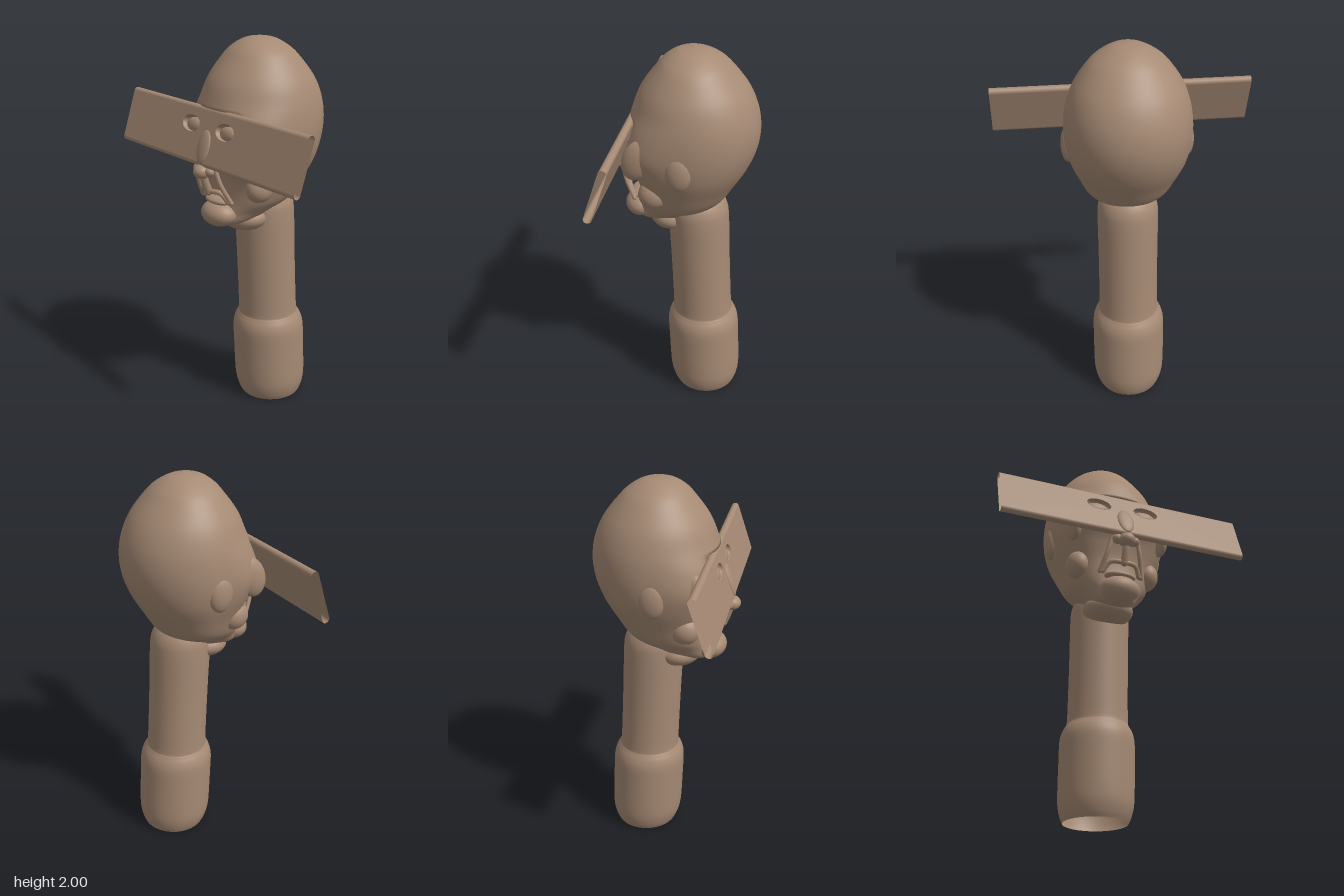
import * as THREE from 'three';

const clay = new THREE.MeshStandardMaterial({ color: 0xa68a74, side: THREE.DoubleSide });
clay.name = 'clay brown';

const TILT = 0.327, PLATE_Y = 1.535, PLATE_Z = 0.283;

function add(parent, name, geometry, x = 0, y = 0, z = 0) {
  const mesh = new THREE.Mesh(geometry, clay);
  mesh.name = name;
  mesh.position.set(x, y, z);
  parent.add(mesh);
  return mesh;
}

function blob(parent, name, [x, y, z], [rx, ry, rz]) {
  return add(parent, name, new THREE.SphereGeometry(1, 32, 20).scale(rx, ry, rz), x, y, z);
}

function tube(parent, name, points, radius) {
  const curve = new THREE.CatmullRomCurve3(points.map((p) => new THREE.Vector3(...p)));
  add(parent, name, new THREE.TubeGeometry(curve, 20, radius, 10), 0, 0, 0);
  [points[0], points[points.length - 1]].forEach((p) =>
    blob(parent, name + 'End', p, [radius, radius, radius]));
}

// Skin between closed rings, listed from top to bottom
function loft(rows, sides, pointAt) {
  const pos = [], index = [];
  rows.forEach((row, i) => {
    for (let j = 0; j < sides; j++) {
      pos.push(...pointAt(row, (j / sides) * Math.PI * 2));
      if (i === rows.length - 1) continue;
      const a = i * sides + j, b = i * sides + ((j + 1) % sides);
      index.push(a, a + sides, b + sides, a, b + sides, b);
    }
  });
  const g = new THREE.BufferGeometry();
  g.setAttribute('position', new THREE.Float32BufferAttribute(pos, 3));
  g.setIndex(index);
  g.computeVertexNormals();
  return g;
}

// Smoothly resample a table of rows
function resample(table, count) {
  const curve = (k) => new THREE.CatmullRomCurve3(
    table.map((r) => new THREE.Vector3(r[k], r[k + 1], r[k + 2] ?? 0)), false, 'catmullrom', 0.5);
  const a = curve(0), b = curve(3);
  return Array.from({ length: count }, (_, i) => {
    const p = a.getPoint(i / (count - 1)), q = b.getPoint(i / (count - 1));
    return [p.x, p.y, p.z, q.x, q.y];
  });
}

function buildHead(group) {
  // height, half width, back z, front z, squareness of the front
  const table = [
    [2.0, 0.001, -0.041, -0.039, 2],
    [1.987, 0.075, -0.12, 0.035, 2],
    [1.95, 0.145, -0.187, 0.095, 2],
    [1.9, 0.2, -0.24, 0.14, 2],
    [1.8, 0.267, -0.318, 0.212, 2],
    [1.7, 0.302, -0.362, 0.252, 2.1],
    [1.6, 0.317, -0.377, 0.28, 2.5],
    [1.5, 0.316, -0.365, 0.29, 2.8],
    [1.4, 0.295, -0.327, 0.25, 2.8],
    [1.3, 0.255, -0.268, 0.225, 2.5],
    [1.2, 0.21, -0.2, 0.225, 2.2],
    [1.14, 0.15, -0.1, 0.24, 2],
    [1.09, 0.1, 0.0, 0.25, 2],
    [1.065, 0.04, 0.12, 0.23, 2],
    [1.062, 0.001, 0.18, 0.19, 2],
  ];
  const head = loft(resample(table, 99), 64, ([y, w, back, front, n], a) => {
    const s = Math.sin(a), c = Math.cos(a), mid = (back + front) / 2;
    const e = c > 0 ? 2 / n : 1;
    const x = Math.sign(s) * Math.abs(s) ** e * w;
    let z = mid + Math.sign(c) * Math.abs(c) ** e * (front - mid);
    // flatten the face against the back of the visor
    if (y > 1.39 && y < 1.67)
      z = Math.min(z, PLATE_Z - (0.025 + (y - PLATE_Y) * Math.sin(TILT)) / Math.cos(TILT));
    return [x, y, z];
  });
  add(group, 'head', head);
}

function buildNeck(group) {
  // height, radius
  const table = [
    [1.24, 0.08], [1.2, 0.125], [1.15, 0.15], [1.08, 0.157], [0.9, 0.156], [0.7, 0.156],
    [0.52, 0.158], [0.49, 0.165], [0.46, 0.181], [0.41, 0.193], [0.3, 0.194],
    [0.15, 0.194], [0.08, 0.19], [0.03, 0.178], [0, 0.165],
  ];
  const neck = loft(resample(table.map(([y, r]) => [y, r, 0, 0, 0]), 57), 48, ([y, r], a) =>
    [0.005 + r * Math.sin(a), Math.max(y, 0), -0.125 + 0.045 * y + r * Math.cos(a)]);
  add(group, 'neck', neck);
  blob(group, 'throat', [0, 1.085, 0.06], [0.135, 0.075, 0.12]);
}

// Hollow, open-ended flat sleeve across the eyes
function buildVisor(group) {
  const visor = new THREE.Group();
  visor.name = 'visor';
  visor.position.set(0, PLATE_Y, PLATE_Z);
  visor.rotation.x = -TILT;
  group.add(visor);
  const L = 0.675, H = 0.125, T = 0.02;
  const eyes = [-0.137, 0.127], eyeY = 0.046, rx = 0.068, ry = 0.042;

  const sheet = new THREE.Shape([[-L, -H], [L, -H], [L, H], [-L, H]].map((p) => new THREE.Vector2(...p)));
  eyes.forEach((x) => sheet.holes.push(new THREE.Path().absellipse(x, eyeY, rx, ry, 0, Math.PI * 2, true)));
  add(visor, 'visorFront', new THREE.ShapeGeometry(sheet, 24), 0, 0, T);
  add(visor, 'visorBack', new THREE.PlaneGeometry(2 * L, 2 * H).rotateY(Math.PI), 0, 0, -T);
  [1, -1].forEach((s) => {
    const edge = new THREE.CylinderGeometry(T, T, 2 * L, 16, 1, true, 0, Math.PI).rotateZ(Math.PI / 2);
    if (s < 0) edge.rotateX(Math.PI);
    add(visor, 'visorEdge', edge, 0, s * H, 0);
  });
  eyes.forEach((x) => {
    const bowl = new THREE.SphereGeometry(1, 32, 12, 0, Math.PI * 2, 0, Math.PI / 2)
      .rotateX(-Math.PI / 2).scale(rx, ry, 0.042);
    add(visor, 'eyeSocket', bowl, x, eyeY, T);
    blob(visor, 'eyeball', [x, eyeY - 0.004, -0.008], [0.06, 0.036, 0.022]);
  });
  blob(visor, 'noseBridge', [0, -0.05, T], [0.045, 0.085, 0.014]);
}

function buildFace(group) {
  blob(group, 'noseTip', [0, 1.372, 0.33], [0.045, 0.037, 0.045]);
  blob(group, 'chin', [0, 1.133, 0.225], [0.105, 0.068, 0.085]);
  blob(group, 'lowerLip', [0, 1.205, 0.23], [0.085, 0.022, 0.05]);
  tube(group, 'philtrum', [[0, 1.36, 0.325], [0, 1.31, 0.31], [0, 1.26, 0.29]], 0.02);
  tube(group, 'upperLip',
    [[-0.1, 1.215, 0.245], [-0.07, 1.262, 0.27], [0, 1.262, 0.288], [0.07, 1.262, 0.27], [0.1, 1.215, 0.245]], 0.013);
  [1, -1].forEach((s) => {
    blob(group, 'nostril', [s * 0.045, 1.378, 0.315], [0.03, 0.025, 0.028]);
    tube(group, 'cheekFold', [[s * 0.068, 1.4, 0.305], [s * 0.09, 1.31, 0.285], [s * 0.115, 1.215, 0.24]], 0.012);
    blob(group, 'cheek', [s * 0.195, 1.29, 0.125], [0.062, 0.075, 0.075]);
    blob(group, 'ear', [s * 0.298, 1.475, -0.02], [0.036, 0.095, 0.065]);
    // flare joining the temple to the visor
    blob(group, 'temple', [s * 0.245, 1.5, 0.19], [0.04, 0.11, 0.075]).rotation.x = -TILT;
  });
}

export function createModel() {
  const group = new THREE.Group();
  group.name = 'visoredHeadOnNeck';
  buildHead(group);
  buildNeck(group);
  buildVisor(group);
  buildFace(group);
  return group;
}
